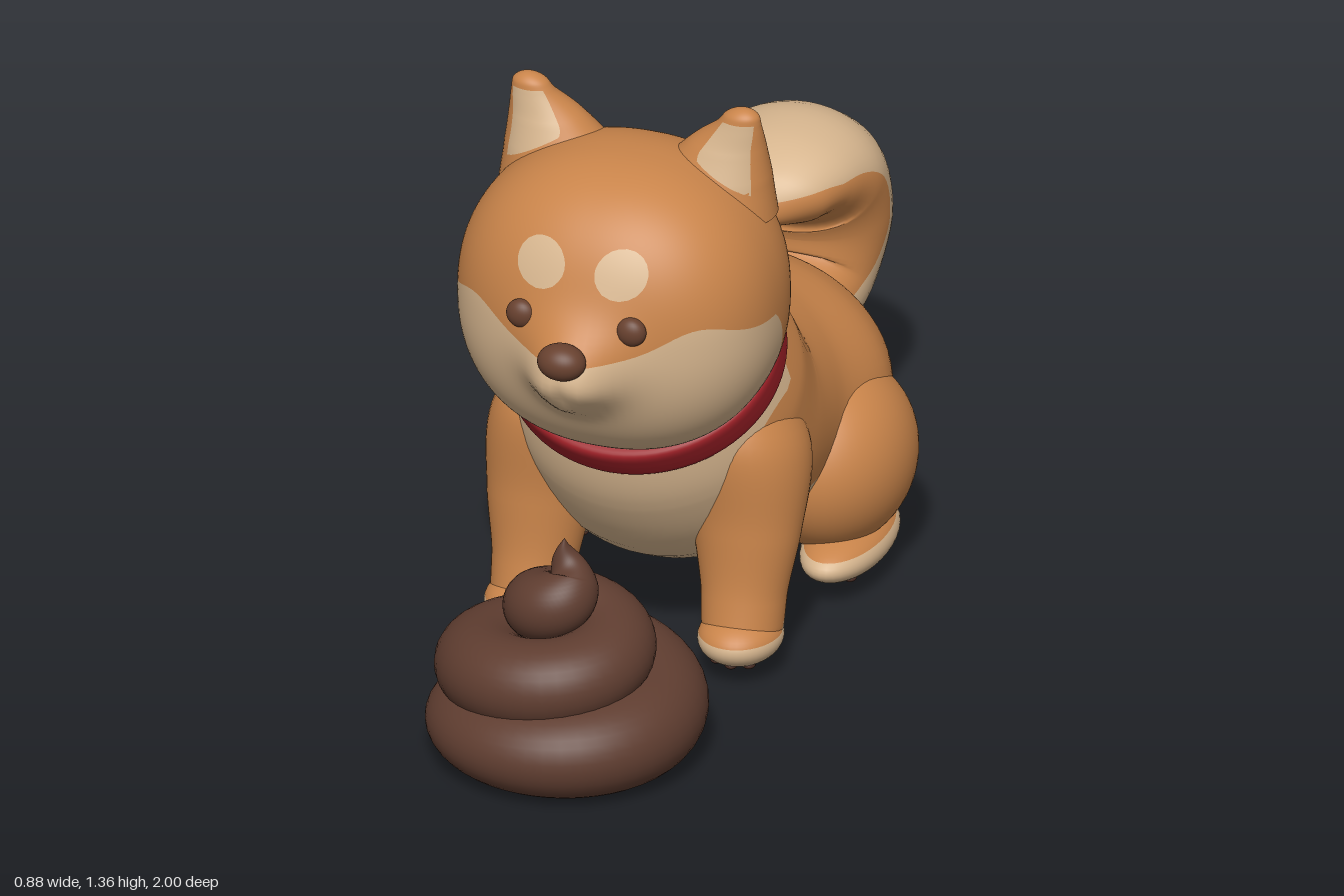
import * as THREE from 'three';
import { mergeVertices } from 'three/addons/utils/BufferGeometryUtils.js';

const V = (x, y, z) => new THREE.Vector3(x, y, z);
const mat = (name, color) => {
  const m = new THREE.MeshStandardMaterial({ color });
  m.name = name;
  return m;
};

// Sweep an ellipse along a path; at(t) gives centre p, side axis and half sizes a, b.
function sweep(at, n, m, capStart, capEnd) {
  const pos = [], idx = [];
  const cap = (t, e) => (t < e ? Math.sqrt(Math.max(0, 1 - (1 - t / e) ** 2)) : 1);
  for (let i = 0; i <= n; i++) {
    const t = (1 - Math.cos((Math.PI * i) / n)) / 2;
    const { p, side, a, b } = at(t);
    const tan = at(Math.min(1, t + 0.002)).p.clone().sub(at(Math.max(0, t - 0.002)).p);
    const other = tan.cross(side).normalize();
    const k = (capStart ? cap(t, capStart) : 1) * (capEnd ? cap(1 - t, capEnd) : 1);
    for (let j = 0; j < m; j++) {
      const q = (j / m) * Math.PI * 2;
      const v = p.clone().addScaledVector(side, a * k * Math.cos(q)).addScaledVector(other, b * k * Math.sin(q));
      pos.push(v.x, v.y, v.z);
      if (i < n) {
        const r = i * m, s = r + m, j2 = (j + 1) % m;
        idx.push(r + j, r + j2, s + j2, r + j, s + j2, s + j);
      }
    }
  }
  const g = new THREE.BufferGeometry();
  g.setAttribute('position', new THREE.Float32BufferAttribute(pos, 3));
  g.setIndex(idx);
  g.computeVertexNormals();
  return g;
}

// Limb through keys [x, y, z, half width, half depth]; s = -1 mirrors it.
function limb(keys, s, n, m, capStart, capEnd) {
  const path = new THREE.CatmullRomCurve3(keys.map((k) => V(k[0] * s, k[1], k[2])));
  const size = new THREE.CatmullRomCurve3(keys.map((k) => V(k[3], k[4], 0)));
  return sweep((t) => {
    const r = size.getPoint(t);
    return { p: path.getPoint(t), side: V(1, 0, 0), a: r.x, b: r.y };
  }, n, m, capStart, capEnd);
}

const ball = (x, y, z, rx, ry, rz, n = 40) =>
  new THREE.SphereGeometry(1, n, n * 0.7 | 0).scale(rx, ry, rz).translate(x, y, z);

// Cut a surface along f(|x|, y, z) = 0: group 0 where f < 0, group 1 where f > 0.
function cut(geo, f) {
  const g = geo.toNonIndexed();
  const P = g.attributes.position, N = g.attributes.normal;
  const out = [[], []];
  for (let i = 0; i < P.count; i += 3) {
    const tri = [0, 1, 2].map((k) => {
      const p = V().fromBufferAttribute(P, i + k);
      return { p, n: V().fromBufferAttribute(N, i + k), d: f(Math.abs(p.x), p.y, p.z) || 1e-9 };
    });
    [-1, 1].forEach((s, w) => {
      const poly = [];
      tri.forEach((A, k) => {
        const B = tri[(k + 1) % 3];
        if (A.d * s > 0) poly.push(A);
        if (A.d * B.d < 0) {
          const t = A.d / (A.d - B.d);
          poly.push({ p: A.p.clone().lerp(B.p, t), n: A.n.clone().lerp(B.n, t).normalize() });
        }
      });
      for (let k = 2; k < poly.length; k++) out[w].push(poly[0], poly[k - 1], poly[k]);
    });
  }
  const all = out[0].concat(out[1]);
  const r = new THREE.BufferGeometry();
  r.setAttribute('position', new THREE.Float32BufferAttribute(all.flatMap((v) => v.p.toArray()), 3));
  r.setAttribute('normal', new THREE.Float32BufferAttribute(all.flatMap((v) => v.n.toArray()), 3));
  r.addGroup(0, out[0].length, 0);
  r.addGroup(out[0].length, out[1].length, 1);
  return r;
}

// Muzzle relief added to the front of the head: [x, y, height, spread x, spread y]
const bumps = [[0, 0.88, 0.09, 0.105, 0.09], [0.045, 0.835, 0.028, 0.05, 0.045], [0, 0.785, 0.03, 0.05, 0.035]];
const relief = (x, y) => bumps.reduce((sum, [bx, by, h, sx, sy]) =>
  sum + h * Math.exp(-(((Math.abs(x) - bx) / sx) ** 2) - ((y - by) / sy) ** 2), 0);
const E = 2.25, HY = 0.91, HZ = 0.28, RX = 0.357, RY = 0.34, RF = 0.3, RB = 0.33;
const faceZ = (x, y) => HZ + relief(x, y) +
  RF * Math.max(0, 1 - Math.abs(x / RX) ** E - Math.abs((y - HY) / RY) ** E) ** (1 / E);

function headGeometry() {
  let g = new THREE.SphereGeometry(1, 112, 80);
  g.deleteAttribute('uv');
  g.deleteAttribute('normal');
  g = mergeVertices(g, 1e-5);
  const P = g.attributes.position;
  for (let i = 0; i < P.count; i++) {
    const d = V().fromBufferAttribute(P, i);
    d.divideScalar((Math.abs(d.x) ** E + Math.abs(d.y) ** E + Math.abs(d.z) ** E) ** (1 / E));
    const x = d.x * RX, y = HY + d.y * RY;
    const z = HZ + (d.z > 0 ? d.z * RF + relief(x, y) * Math.min(1, d.z * 2) : d.z * RB);
    P.setXYZ(i, x, y, z);
  }
  g.computeVertexNormals();
  return g;
}

export function createModel() {
  const orange = mat('orange fur', 0xc9844a), cream = mat('cream fur', 0xd6b58e);
  const red = mat('red', 0x9c1f26), brown = mat('swirl brown', 0x5f3d30);
  const dark = mat('nose brown', 0x68412f), pad = mat('paw pad brown', 0x4a2d24);
  const model = new THREE.Group();
  const add = (name, geo, material) => {
    const mesh = new THREE.Mesh(geo, material);
    mesh.name = name;
    model.add(mesh);
  };
  const fur = (name, geo, f) => add(name, cut(geo, f), [orange, cream]);

  // Torso from neck to rump, with cream chest and belly
  fur('torso', limb([
    [0, 0.71, 0.155, 0.285, 0.262], [0, 0.59, 0.07, 0.325, 0.315], [0, 0.47, -0.03, 0.33, 0.32],
    [0, 0.42, -0.2, 0.325, 0.308], [0, 0.385, -0.38, 0.36, 0.29], [0, 0.365, -0.53, 0.315, 0.25],
    [0, 0.36, -0.67, 0.21, 0.18],
  ], 1, 64, 64, 0, 0.22), (x, y, z) => Math.max(
    0.32 + Math.max(0, -z - 0.4) * 0.5 - y,
    Math.min(0.17 + (y - 0.3) * 0.42 - x, z - 0.08)));

  // Head with cream cheeks and brow spots
  fur('head', headGeometry(), (x, y, z) => {
    const cheek = Math.min(
      0.905 + 0.06 * Math.exp(-(((x - 0.26) / 0.09) ** 2)) - y,
      0.1 * (1 - (Math.max(0, 0.42 - z) / 0.19) ** 2 - ((y - 0.78) / (y > 0.78 ? 0.19 : 0.34)) ** 2));
    const brow = 0.1 * (1 - ((x - 0.092) / 0.058) ** 2 - ((y - 1.085) / 0.052) ** 2);
    return Math.max(cheek, Math.min(brow, z - 0.3));
  });
  add('nose', ball(0, 0.918, 0.658, 0.054, 0.041, 0.043), dark);

  // Collar: tilted rounded band
  const band = [];
  for (let i = 0; i <= 40; i++) {
    const q = (i / 40) * Math.PI * 2, c = Math.cos(q), s = Math.sin(q);
    band.push(new THREE.Vector2(0.258 + 0.035 * Math.sign(c) * Math.abs(c) ** 0.45,
      0.045 * Math.sign(s) * Math.abs(s) ** 0.45));
  }
  add('collar', new THREE.LatheGeometry(band, 80).scale(1.07, 1, 1).rotateX(0.6435).translate(0, 0.711, 0.155), red);

  // Curled tail, orange on the inside of the curl
  fur('tail', limb([
    [0, 0.39, -0.5, 0.13, 0.12], [0, 0.385, -0.66, 0.14, 0.115], [0, 0.43, -0.8, 0.165, 0.135],
    [0, 0.56, -0.85, 0.19, 0.148], [0, 0.68, -0.8, 0.195, 0.145], [0, 0.72, -0.7, 0.175, 0.11],
    [0, 0.71, -0.61, 0.135, 0.08], [0, 0.68, -0.53, 0.07, 0.045],
  ], 1, 64, 48, 0.05, 0.14), (x, y, z) =>
    Math.hypot(z + 0.69, y - 0.58) - 0.16 - Math.max(0, z + 0.66) * 0.4);
  add('tailRootPatch', ball(0, 0.5, -0.645, 0.08, 0.02, 0.02, 24), red);

  for (const s of [1, -1]) {
    const side = s > 0 ? 'left' : 'right';
    const name = (part) => side + part;

    // Eye and ear
    add(name('Eye'), ball(s * 0.126, 0.97, faceZ(0.126, 0.97) - 0.004, 0.034, 0.033, 0.024, 28), dark);
    fur(name('Ear'), limb([
      [0.165, 1.1, 0.185, 0.15, 0.12], [0.18, 1.19, 0.185, 0.124, 0.092],
      [0.207, 1.26, 0.19, 0.087, 0.06], [0.236, 1.315, 0.198, 0.05, 0.035], [0.247, 1.355, 0.2, 0.033, 0.024],
    ], s, 48, 48, 0, 0.13), (x, y, z) => Math.min(
      z - 0.238 + (y - 1.2) * 0.17, y - 1.165 - (0.285 - x) * 0.55,
      x - 0.158 - Math.max(0, y - 1.25) * 0.65, 0.288 - x, 1.325 - y));

    // Front leg, its top sunk into the shoulder, and paw
    const frontPaint = (x, y, z) => Math.max(0.1 - y,
      Math.min(0.18 - (y - 0.12) * 0.62 - z, 0.36 - y));
    fur(name('FrontLeg'), limb([
      [0.175, 0.68, 0.06, 0.1, 0.15], [0.212, 0.5, 0.105, 0.145, 0.16], [0.235, 0.33, 0.148, 0.122, 0.108],
      [0.24, 0.18, 0.178, 0.095, 0.087], [0.243, 0.07, 0.2, 0.088, 0.09],
    ], s, 48, 40, 0.25, 0.08), frontPaint);

    // Hind thigh
    const hindPaint = (x, y, z) => Math.max(0.11 - y, (-z - 0.42) * 2 + 0.1 - y, 0.22 - x);
    fur(name('Thigh'), ball(s * 0.255, 0.275, -0.32, 0.183, 0.208, 0.222, 56), hindPaint);

    // Paws, each with one large pad and three toe pads on its sole
    for (const [part, px, pz, rz, paint] of [
      ['Front', 0.245, 0.212, 0.108, frontPaint], ['Hind', 0.308, -0.29, 0.19, hindPaint]]) {
      fur(name(part + 'Paw'), ball(s * px, 0.087, pz, 0.092, 0.058, rz), paint);
      const soleY = (dx, dz) => 0.087 - 0.058 * Math.sqrt(1 - (dx / 0.092) ** 2 - (dz / rz) ** 2);
      const heel = rz * 0.6 - 0.06;
      add(name(part + 'Pad'), ball(s * px, soleY(0, heel) + 0.002, pz + heel, 0.044, 0.008, 0.03, 20), pad);
      for (const k of [-1, 0, 1]) {
        const dx = k * 0.037, dz = heel + 0.054 - 0.01 * Math.abs(k);
        add(name(part + 'ToePad'), ball(s * px + dx, soleY(dx, dz) + 0.004, pz + dz, 0.015, 0.01, 0.017, 14), pad);
      }
    }
  }

  // Swirled pile: a tapering coil with keys [coil radius, height, half width, half height] each half turn
  const coil = [
    [0.13, 0.08, 0.07, 0.06], [0.185, 0.085, 0.112, 0.082], [0.195, 0.112, 0.116, 0.11],
    [0.18, 0.195, 0.108, 0.1], [0.105, 0.262, 0.1, 0.092], [0.055, 0.34, 0.085, 0.08],
    [0.02, 0.41, 0.055, 0.06], [0, 0.512, 0, 0],
  ];
  const path = new THREE.CatmullRomCurve3(coil.map((k) => V(k[0], k[1], 0)));
  const size = new THREE.CatmullRomCurve3(coil.map((k) => V(k[2], k[3], 0)));
  add('swirlPile', sweep((t) => {
    const c = path.getPoint(t), r = size.getPoint(t), q = -t * Math.PI * 7;
    const out = V(Math.cos(q), 0, Math.sin(q));
    return { p: V(0.02, c.y, 0.692).addScaledVector(out, c.x), side: out, a: r.x, b: r.y };
  }, 220, 36, 0.05, 0), brown);

  return model;
}
